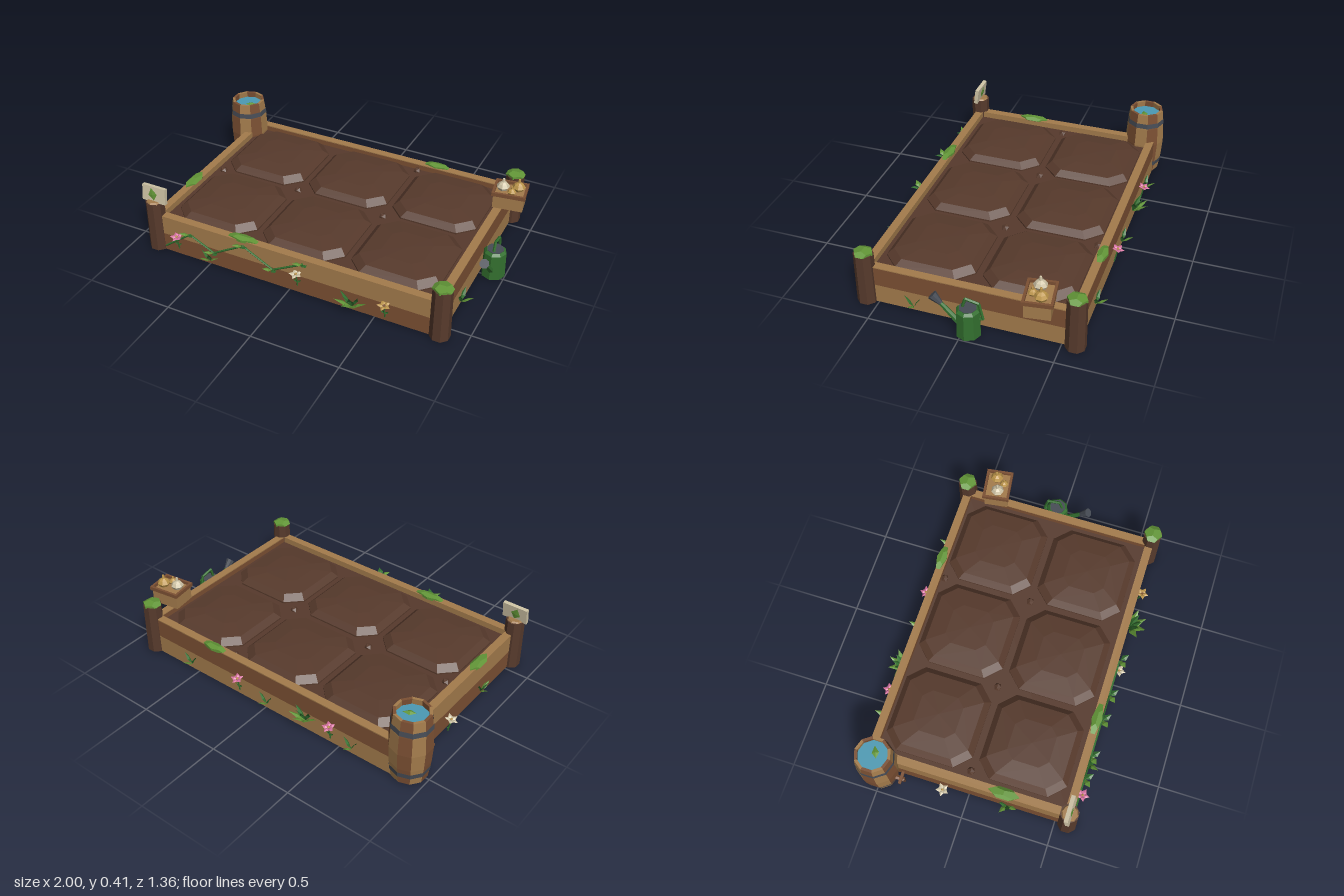
import * as THREE from 'three';

const mat = (name, color) => new THREE.MeshStandardMaterial({ name, color, flatShading: true, side: THREE.DoubleSide });

export function createModel() {
  const M = {
    tan: mat('light wood', 0xa47c4c), brown: mat('brown wood', 0x7c5033), soil: mat('dark earth', 0x573a2c),
    green: mat('deep green', 0x33702f), moss: mat('moss green', 0x629637), water: mat('water blue', 0x4c9ab4),
    iron: mat('iron grey', 0x474c55), cream: mat('cream', 0xcfc4a6), pink: mat('petal pink', 0xd4709e),
    gold: mat('golden yellow', 0xbc954a),
  };
  const root = new THREE.Group();
  root.name = 'gardenBed';

  const group = (name, x = 0, y = 0, z = 0, yaw = 0, parent = root) => {
    const g = new THREE.Group();
    g.name = name;
    g.position.set(x, y, z);
    g.rotation.y = yaw;
    parent.add(g);
    return g;
  };
  const add = (name, geo, material, x = 0, y = 0, z = 0, parent = root) => {
    const m = new THREE.Mesh(geo, material);
    m.name = name;
    m.position.set(x, y, z);
    parent.add(m);
    return m;
  };
  const box = (name, w, h, d, material, x, y, z, parent) =>
    add(name, new THREE.BoxGeometry(w, h, d), material, x, y, z, parent);
  // straight rod between two points, radius r0 at a and r1 at b
  const rod = (name, a, b, r0, r1, material, parent, sides = 5) => {
    const p = new THREE.Vector3(...a), q = new THREE.Vector3(...b), d = q.clone().sub(p);
    const m = add(name, new THREE.CylinderGeometry(r1, r0, d.length(), sides), material, 0, 0, 0, parent);
    m.position.copy(p).add(q).multiplyScalar(0.5);
    m.quaternion.setFromUnitVectors(new THREE.Vector3(0, 1, 0), d.normalize());
  };
  const fromTriangles = (points) => {
    const g = new THREE.BufferGeometry();
    g.setAttribute('position', new THREE.Float32BufferAttribute(points.flat(), 3));
    g.computeVertexNormals();
    return g;
  };
  // folded pointed leaf growing along +y, its upper side towards -z
  const leafGeo = (l, w) => {
    const a = [0, 0, 0], b = [-w / 2, l * 0.45, 0], c = [w / 2, l * 0.45, 0], t = [0, l, 0], m = [0, l * 0.45, -w * 0.2];
    return fromTriangles([a, b, m, a, m, c, m, b, t, m, t, c]);
  };

  // board walls, two courses each, alternating light and brown
  const walls = [['front', 1.72, 0, 0.563, 0], ['back', 1.72, 0, -0.563, 1], ['left', 1.17, -0.836, 0, 0], ['right', 1.17, 0.838, 0, 1]];
  for (const [side, len, x, z, odd] of walls) {
    const along = side === 'front' || side === 'back';
    const w = along ? len : 0.046, d = along ? 0.046 : len;
    for (let row = 0; row < 2; row++) {
      box(side + 'Board', w, 0.11, d, (row + odd) % 2 ? M.tan : M.brown, x, 0.055 + row * 0.11, z);
    }
    box(side + 'Cap', w, 0.006, d, M.tan, x, 0.222, z);
  }

  // soil slab and six chamfered mounds with gently domed tops
  box('soilBase', 1.63, 0.015, 1.09, M.soil, 0, 0.182, 0);
  const moundGeo = () => {
    const rings = [[0.16, 0], [0.198, 0], [0.23, 0.033], [0.243, 0.13]].map(([y, inset]) => {
      const h = 0.25 - inset, c = h - 0.085 + inset * 0.3;
      return [[h, -c], [h, c], [c, h], [-c, h], [-h, c], [-h, -c], [-c, -h], [c, -h]].map(([x, z]) => [x, y, z]);
    });
    const tri = [], n = 8;
    for (let i = 0; i < n; i++) {
      const j = (i + 1) % n;
      for (let k = 0; k < 3; k++) {
        const a = rings[k][i], b = rings[k][j], c = rings[k + 1][i], d = rings[k + 1][j];
        tri.push(a, c, b, b, c, d);
      }
      tri.push([0, 0.246, 0], rings[3][j], rings[3][i], [0, 0.16, 0], rings[0][i], rings[0][j]);
    }
    return fromTriangles(tri);
  };
  const mound = moundGeo();
  for (const x of [-0.533, 0.003, 0.539]) for (const z of [-0.276, 0.263]) add('soilMound', mound, M.soil, x, 0, z);
  for (const [x, z] of [[-0.27, -0.02], [0.28, 0], [-0.77, -0.01], [0.27, -0.52]]) {
    add('clod', new THREE.IcosahedronGeometry(0.024, 0), M.soil, x, 0.19, z);
  }

  // corner posts, two of them moss-topped
  for (const [x, z, mossy] of [[0.855, 0.568, 1], [0.855, -0.57, 1], [-0.85, 0.568, 0]]) {
    add('post', new THREE.CylinderGeometry(0.053, 0.056, 0.305, 8), M.soil, x, 0.1525, z).rotation.y = Math.PI / 8;
    if (mossy) add('postMoss', new THREE.DodecahedronGeometry(0.057), M.moss, x, 0.307, z).scale.set(1, 0.36, 1);
    else add('postTop', new THREE.CylinderGeometry(0.04, 0.05, 0.012, 8), M.tan, x, 0.307, z);
  }
  // moss patches draped on the rim
  for (const [x, z, w, d] of [[-0.29, 0.562, 0.18, 0.06], [0.375, -0.572, 0.15, 0.06], [-0.84, 0.2, 0.065, 0.18]]) {
    add('rimMoss', new THREE.DodecahedronGeometry(0.53), M.moss, x, 0.225, z).scale.set(w, 0.034, d);
  }

  // marker sign on the front left post, painted with a leaf on both faces
  const sign = group('sign', -0.845, 0.35, 0.567);
  sign.rotation.x = -0.13;
  box('signPlate', 0.148, 0.094, 0.022, M.cream, 0, 0, 0, sign);
  for (const s of [-1, 1]) {
    const leaf = add('signLeaf', leafGeo(0.075, 0.058), M.moss, 0.002, -0.036, s * 0.0115, sign);
    leaf.rotation.set(0, s > 0 ? Math.PI : 0, -s * 0.25);
    leaf.scale.z = 0.3;
  }

  // water barrel made of ten staves
  const barrel = group('barrel', -0.885, 0, -0.51);
  const profile = [[0, 0.003], [0.098, 0], [0.111, 0.1], [0.117, 0.2], [0.111, 0.31], [0.1, 0.405], [0.084, 0.405], [0.088, 0.35]]
    .map(([r, y]) => new THREE.Vector2(r, y));
  const step = Math.PI / 5;
  for (let i = 0; i < 10; i++) {
    add('stave', new THREE.LatheGeometry(profile, 1, i * step, step), i % 2 ? M.brown : M.tan, 0, 0, 0, barrel);
  }
  for (const [y, r0, r1] of [[0.06, 0.106, 0.11], [0.335, 0.112, 0.109]]) {
    add('barrelHoop', new THREE.CylinderGeometry(r1, r0, 0.03, 10, 1, true), M.iron, 0, y, 0, barrel);
  }
  add('barrelWater', new THREE.CylinderGeometry(0.086, 0.086, 0.005, 10), M.water, 0, 0.37, 0, barrel);
  const floating = add('floatingLeaf', leafGeo(0.07, 0.04), M.moss, -0.01, 0.376, 0.02, barrel);
  floating.rotation.set(Math.PI / 2, 0, -2);
  rod('spigot', [-0.02, 0.085, 0.1], [-0.02, 0.08, 0.15], 0.014, 0.014, M.brown, barrel, 6);
  rod('spigotNozzle', [-0.02, 0.09, 0.145], [-0.02, 0.05, 0.148], 0.01, 0.01, M.soil, barrel, 6);
  box('spigotKey', 0.07, 0.014, 0.016, M.brown, -0.02, 0.105, 0.135, barrel);

  // crate of bulbs resting on the right rim
  const crate = group('crate', 0.882, 0.225, -0.39, 0.14);
  box('crateBody', 0.17, 0.085, 0.135, M.tan, 0, 0.0425, 0, crate);
  for (const s of [-1, 1]) {
    box('crateRim', 0.188, 0.022, 0.014, M.brown, 0, 0.092, s * 0.071, crate);
    box('crateRim', 0.014, 0.022, 0.156, M.brown, s * 0.087, 0.092, 0, crate);
  }
  const bulb = [[0, 0], [0.026, 0.008], [0.036, 0.026], [0.025, 0.043], [0.009, 0.054], [0.006, 0.074], [0, 0.076]]
    .map(([r, y]) => new THREE.Vector2(r, y));
  for (const [x, z, m, s] of [[-0.042, 0.005, M.cream, 1.05], [0.043, -0.012, M.gold, 1.05], [0.012, 0.035, M.gold, 0.7]]) {
    add('bulb', new THREE.LatheGeometry(bulb, 7), m, x, 0.085, z, crate).scale.setScalar(s);
  }

  // watering can beside the right wall
  const can = group('wateringCan', 0.932, 0, -0.03);
  add('canBody', new THREE.CylinderGeometry(0.063, 0.067, 0.152, 8), M.green, 0, 0.076, 0, can);
  add('canShoulder', new THREE.CylinderGeometry(0.05, 0.063, 0.014, 8), M.green, 0, 0.159, 0, can);
  add('canOpening', new THREE.CylinderGeometry(0.047, 0.047, 0.004, 8), M.iron, 0, 0.167, 0, can);
  rod('canSpout', [0, 0.055, 0.05], [0, 0.165, 0.155], 0.017, 0.011, M.green, can, 6);
  rod('canRose', [0, 0.155, 0.145], [0, 0.198, 0.19], 0.012, 0.027, M.iron, can, 8);
  const handle = [[0, 0.16, 0.03], [0, 0.22, 0.012], [0, 0.205, -0.06], [0, 0.112, -0.08], [0, 0.11, -0.055]];
  for (let i = 1; i < handle.length; i++) rod('canHandle', handle[i - 1], handle[i], 0.0085, 0.0085, M.green, can);

  // climbing vine on the front wall
  const vine = [[-0.79, 0.03], [-0.62, 0.16], [-0.47, 0.085], [-0.28, 0.197], [-0.1, 0.1], [0.085, 0.2]];
  const vineGroup = group('vine', 0, 0, 0.59);
  vine.forEach(([x, y], i) => {
    if (i) rod('vineStem', [...vine[i - 1], 0], [x, y, 0], 0.006, 0.006, M.green, vineGroup);
    for (const s of i ? [-1, 1] : []) {
      const leaf = add('vineLeaf', leafGeo(0.06, 0.036), s > 0 ? M.green : M.moss, x, y, 0.004, vineGroup);
      leaf.rotation.set(1.2, s * 0.8, 0, 'YXZ');
    }
  });

  // leafy tufts around the walls: x, y, z, facing, leaf count, leaf length
  const back = Math.PI, right = Math.PI / 2;
  for (const [x, y, z, yaw, n, l] of [
    [-0.5, 0.02, 0.588, 0, 4, 0.085], [0.37, 0.02, 0.588, 0, 8, 0.12],
    [-0.28, 0.06, -0.588, back, 8, 0.11], [-0.58, 0.03, -0.588, back, 3, 0.085],
    [-0.01, 0.03, -0.588, back, 3, 0.085], [0.55, 0.03, -0.588, back, 3, 0.085],
    [0.863, 0.02, 0.3, right, 3, 0.09], [-0.86, 0.02, 0.22, -right, 4, 0.08],
  ]) {
    const tuft = group('tuft', x, y, z, yaw);
    for (let i = 0; i < n; i++) {
      const leaf = add('tuftLeaf', leafGeo(l, l * 0.36), i % 2 ? M.moss : M.green, 0, 0, 0, tuft);
      leaf.rotation.set(0.55 + 0.4 * (i % 2), -1.3 + (2.6 * i) / (n - 1), 0, 'YXZ');
    }
  }

  // star flowers on short stems
  for (const [x, y, z, yaw, m] of [
    [-0.7, 0.125, 0.605, 0, M.pink], [0.05, 0.13, 0.603, 0, M.cream], [0.56, 0.11, 0.605, 0, M.gold],
    [-0.45, 0.12, -0.61, back, M.pink], [0.18, 0.12, -0.61, back, M.pink], [-0.895, 0.085, -0.14, -right, M.cream],
  ]) {
    const flower = group('flower', x, y, z, yaw);
    rod('stem', [0, -0.085, -0.015], [0, 0, 0], 0.004, 0.004, M.green, flower);
    const head = group('flowerHead', 0, 0, 0, 0, flower);
    head.rotation.x = 0.25;
    for (let i = 0; i < 5; i++) {
      add('petal', leafGeo(0.04, 0.026), m, 0, 0, 0, head).rotation.set(1.35, (i * Math.PI * 2) / 5, 0, 'YXZ');
    }
    add('flowerCentre', new THREE.IcosahedronGeometry(0.008, 0), m === M.gold ? M.brown : M.gold, 0, 0.004, 0, head);
    for (const s of [-1, 1]) {
      add('stemLeaf', leafGeo(0.03, 0.014), M.green, 0, -0.06, -0.01, flower).rotation.z = s * 0.9;
    }
  }
  return root;
}
